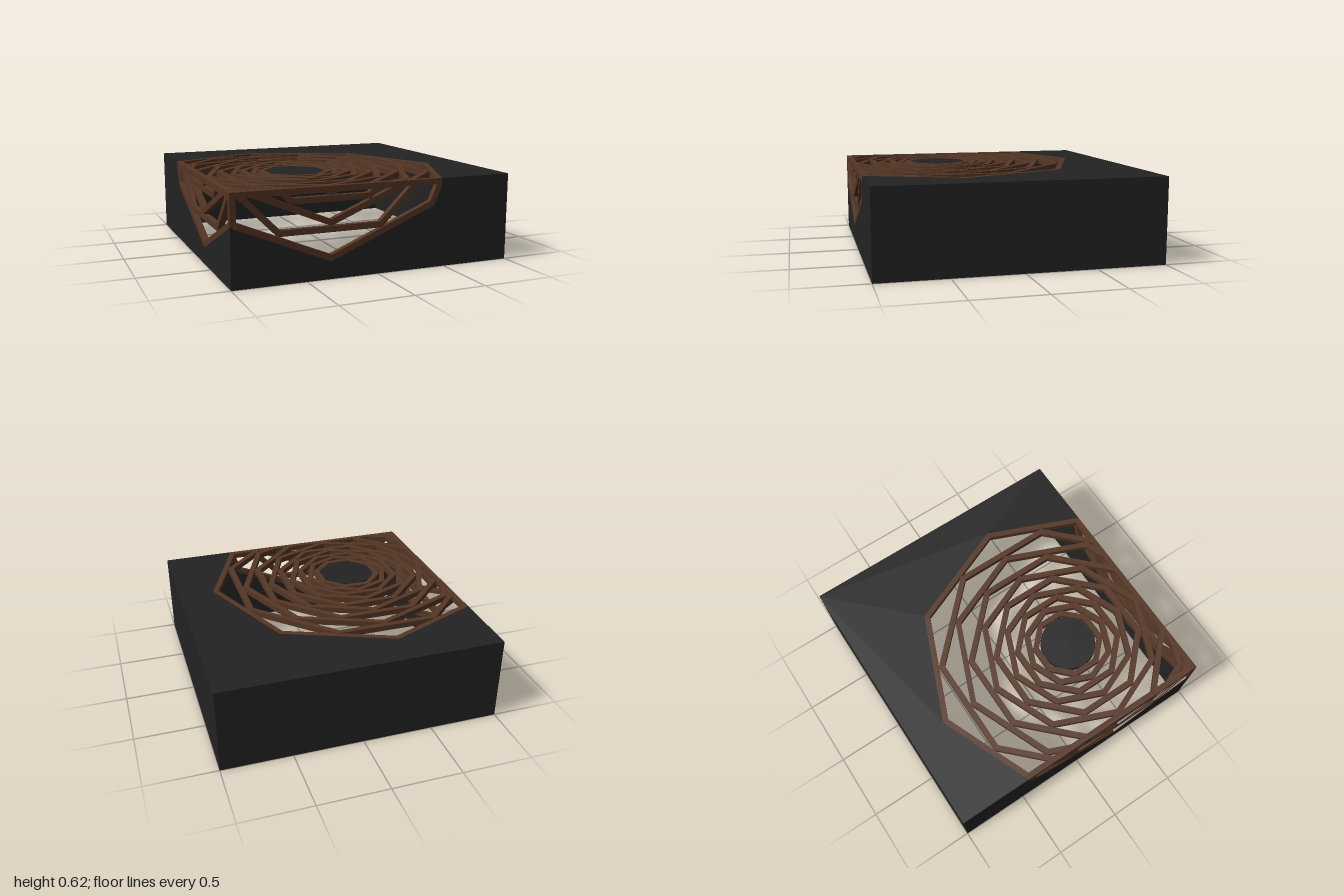
import * as THREE from 'three';
import { mergeGeometries } from 'three/addons/utils/BufferGeometryUtils.js';

const T = 0.04;            // wall thickness and bar width
const H = 0.61;            // overall height
const LOW = H - T;         // underside of the top slab
const IN = 1 - T;          // inner face of the walls
const C = 0.333;           // offset of the octagon centres
const K = Math.tan(Math.PI / 8);
const TOP_R = 1.078, SIDE_R = 1.06, SIDE_Y = 1.178;

// Keep the part of a convex polygon where sign * p[axis] <= limit
function clip(poly, [axis, sign, limit]) {
  const out = [];
  poly.forEach((a, i) => {
    const b = poly[(i + 1) % poly.length];
    const da = sign * a[axis] - limit, db = sign * b[axis] - limit;
    if (da <= 0) out.push(a);
    if (da * db < 0) {
      const t = da / (da - db);
      out.push([a[0] + (b[0] - a[0]) * t, a[1] + (b[1] - a[1]) * t]);
    }
  });
  return out;
}

function octagon(cx, cy, r, turn) {
  return Array.from({ length: 8 }, (_, i) => {
    const a = turn + i * Math.PI / 4;
    return [cx + r * Math.cos(a), cy + r * Math.sin(a)];
  });
}

function plate(points, depth = T) {
  const shape = new THREE.Shape(points.map(p => new THREE.Vector2(p[0], p[1])));
  return new THREE.ExtrudeGeometry(shape, { depth, bevelEnabled: false });
}

const area = p => Math.abs(p.reduce((s, a, i) => {
  const b = p[(i + 1) % p.length];
  return s + a[0] * b[1] - a[1] * b[0];
}, 0)) / 2;

// One octagonal ring made of eight mitred bars, cut off at the given limits
function ringGeometry(cx, cy, r, turn, limits, flip = 1) {
  const outer = octagon(cx, cy, r, turn);
  const inner = octagon(cx, cy, r - T / Math.cos(Math.PI / 8), turn);
  const bars = [];
  for (let i = 0; i < 8; i++) {
    const j = (i + 1) % 8;
    const quad = limits.reduce(clip, [outer[i], outer[j], inner[j], inner[i]]);
    if (quad.length > 2 && area(quad) > 1e-5) bars.push(plate(quad.map(p => [p[0] * flip, p[1]])));
  }
  return bars.length ? mergeGeometries(bars) : null;
}

// Radii of rings, each inscribed in the one before it
function nestedRadii(r) {
  const radii = [];
  for (let i = 0; i < 10; i++) {
    radii.push(r);
    r = r * Math.cos(Math.PI / 8) - T;
  }
  return radii;
}

export function createModel() {
  const group = new THREE.Group();
  const black = new THREE.MeshStandardMaterial({ color: 0x232323 });
  black.name = 'charcoal';
  const brown = new THREE.MeshStandardMaterial({ color: 0x553625 });
  brown.name = 'brown wood';

  const add = (name, geometry, material) => {
    const mesh = new THREE.Mesh(geometry, material);
    mesh.name = name;
    group.add(mesh);
    return mesh;
  };
  const box = (name, material, x0, x1, y0, y1, z0, z1) =>
    add(name, new THREE.BoxGeometry(x1 - x0, y1 - y0, z1 - z0), material)
      .position.set((x0 + x1) / 2, (y0 + y1) / 2, (z0 + z1) / 2);
  // Ways of laying a flat plate on each open face
  const onTop = (g, lift = 0) => g.rotateX(-Math.PI / 2).translate(0, LOW + lift, 0);
  const onFront = g => g.translate(0, 0, IN);
  const onSide = g => g.translate(0, 0, IN).rotateY(-Math.PI / 2);

  // Top slab with the octagonal cutout running off two edges
  const cut = -C + TOP_R - K * (1 - C), d = TOP_R * Math.SQRT1_2;
  add('topSlab', onTop(plate([
    [-1, 1], [-1, cut], [-C, TOP_R - C], [d - C, d - C], [TOP_R - C, -C], [cut, -1], [1, -1], [1, 1],
  ])), black);

  // Plain back and right walls
  box('backWall', black, -1, 1, 0, LOW, -1, -IN);
  box('plainSideWall', black, IN, 1, 0, LOW, -IN, IN);

  // Notched front and side walls
  const notched = (start, end) => {
    const s = SIDE_R * Math.SQRT1_2, bottom = SIDE_Y - SIDE_R;
    return [
      [start, 0], [end, 0], [end, LOW],
      [-C + SIDE_R - K * (SIDE_Y - LOW), LOW], [s - C, SIDE_Y - s],
      [-C, bottom], [start, bottom + K * (-C - start)],
    ];
  };
  add('frontWall', onFront(plate(notched(-1, 1))), black);
  add('openSideWall', onSide(plate(notched(-IN, IN).map(p => [-p[0], p[1]]))), black);

  // Nested rings on top; the inner ones stand slightly proud
  const topLimits = [[0, -1, IN], [1, -1, IN]];
  nestedRadii(TOP_R).forEach((r, i) => {
    const g = ringGeometry(-C, -C, r, (i % 2) * Math.PI / 8, topLimits);
    add('topRing' + i, onTop(g, i > 5 ? 0.005 : 0), brown);
  });

  // Nested rings on the front and open side
  const sideLimits = [[0, -1, IN], [1, 1, LOW]];
  nestedRadii(SIDE_R).forEach((r, i) => {
    const turn = (i % 2) * Math.PI / 8;
    const front = ringGeometry(-C, SIDE_Y, r, turn, sideLimits);
    if (!front) return;
    add('frontRing' + i, onFront(front), brown);
    add('sideRing' + i, onSide(ringGeometry(-C, SIDE_Y, r, turn, sideLimits, -1)), brown);
  });

  // Edge bars closing the cutouts along the box edges
  const outline = octagon(-C, -C, TOP_R, 0);
  const frontBar = [[1, 1, -IN], [1, -1, 1], [0, -1, 1]].reduce(clip, outline);
  const sideBar = [[0, 1, -IN], [0, -1, 1], [1, -1, IN]].reduce(clip, outline);
  add('frontEdgeBar', onTop(plate(frontBar)), brown);
  add('sideEdgeBar', onTop(plate(sideBar)), brown);
  box('cornerPost', brown, -1, -IN, SIDE_Y - SIDE_R + K * (1 - C), LOW, IN, 1);

  // Round plate in the middle of the top
  add('centreDisc', new THREE.CylinderGeometry(0.2, 0.2, T, 32), black)
    .position.set(-C, LOW + T / 2 + 0.004, C);

  return group;
}
